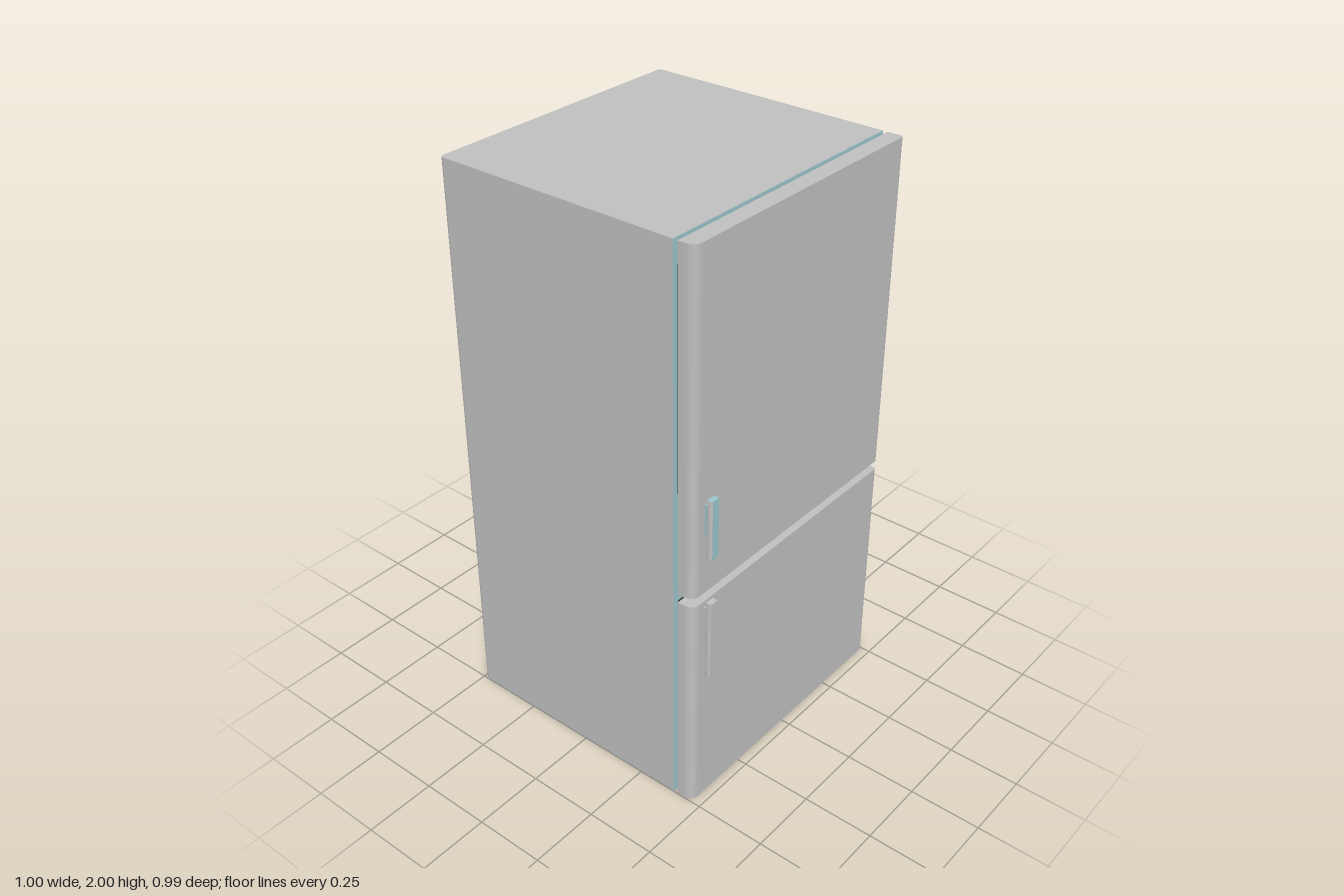
import * as THREE from 'three';

const mat = (name, color) => {
  const m = new THREE.MeshStandardMaterial({ color });
  m.name = name;
  return m;
};

// Upright prism from a plan outline of [x, z, cornerRadius] points
function prism(plan, y0, y1) {
  const shape = new THREE.Shape();
  const n = plan.length;
  plan.forEach(([x, z, r], i) => {
    const c = new THREE.Vector2(x, -z);
    const toward = ([px, pz]) =>
      new THREE.Vector2(px, -pz).sub(c).setLength(r).add(c);
    const a = toward(plan[(i + n - 1) % n]);
    const b = toward(plan[(i + 1) % n]);
    if (i === 0) shape.moveTo(a.x, a.y);
    else shape.lineTo(a.x, a.y);
    if (r > 0) shape.quadraticCurveTo(c.x, c.y, b.x, b.y);
  });
  shape.closePath();
  const g = new THREE.ExtrudeGeometry(shape, { depth: y1 - y0, bevelEnabled: false, curveSegments: 6 });
  g.rotateX(-Math.PI / 2);
  g.translate(0, y0, 0);
  return g;
}

// Box given by its limits on each axis
function block(x0, x1, y0, y1, z0, z1) {
  const g = new THREE.BoxGeometry(x1 - x0, y1 - y0, z1 - z0);
  g.translate((x0 + x1) / 2, (y0 + y1) / 2, (z0 + z1) / 2);
  return g;
}

export function createModel() {
  const root = new THREE.Group();
  root.name = 'refrigerator';
  const grey = mat('silver grey', 0xc0c0c0);
  const teal = mat('pale teal', 0x9cc5cc);
  const dark = mat('dark rubber', 0x333333);

  const add = (name, geometry, material, parent = root) => {
    const mesh = new THREE.Mesh(geometry, material);
    mesh.name = name;
    parent.add(mesh);
  };

  // Cabinet with rounded rear corners
  const shell = [[-0.498, 0.39, 0], [0.498, 0.39, 0], [0.498, -0.493, 0.016], [-0.498, -0.493, 0.016]];
  add('cabinet', prism(shell, 0.002, 2), grey);
  add('cabinetBottom', prism(shell, 0, 0.002), teal);
  add('cabinetFront', block(-0.498, 0.498, 0, 1.999, 0.39, 0.392), teal);
  add('backPanel', block(-0.482, 0.482, 0.001, 1.999, -0.4945, -0.49), dark);

  // Doors, gaskets and handles
  const doors = [
    { name: 'upper', y: [0.835, 2], seal: [0.86, 1.98], grip: [0.97, 1.18], stem: [1.05, 1.16], paint: teal },
    { name: 'lower', y: [0, 0.803], seal: [0.02, 0.79], grip: [0.515, 0.803], stem: [0.625, 0.78], paint: grey },
  ];
  for (const { name, y, seal, grip, stem, paint } of doors) {
    const door = new THREE.Group();
    door.name = name + 'DoorAssembly';
    root.add(door);
    add(name + 'Door', prism(
      [[-0.498, 0.408, 0], [0.498, 0.408, 0.004], [0.498, 0.466, 0.012], [-0.498, 0.466, 0.035]],
      ...y), grey, door);
    add(name + 'Gasket', block(-0.479, 0.479, ...seal, 0.391, 0.409), dark, door);

    // Grip bar with a rounded outer edge, painted ends and face
    add(name + 'Grip', prism(
      [[-0.447, 0.475, 0.003], [-0.414, 0.475, 0], [-0.414, 0.492, 0], [-0.447, 0.492, 0.01]],
      ...grip), [paint, grey], door);
    add(name + 'GripFace', block(-0.44, -0.414, ...grip, 0.491, 0.494), paint, door);
    add(name + 'HandleStem', block(-0.445, -0.436, ...stem, 0.464, 0.477), paint, door);
  }
  return root;
}
